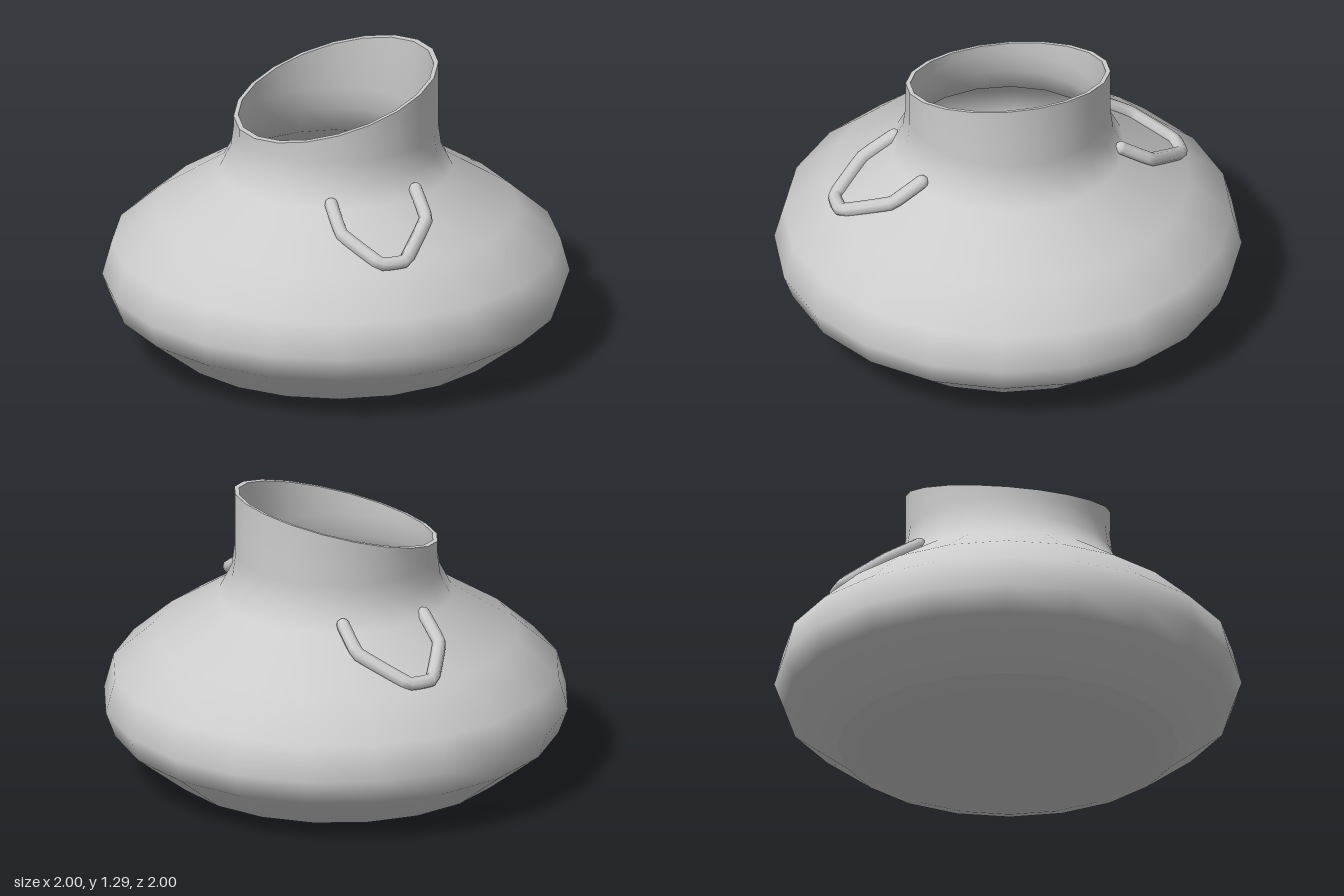
import * as THREE from 'three';
import { toCreasedNormals } from 'three/addons/utils/BufferGeometryUtils.js';

const SIDES = 20;
const RIM_Y = 1.165, RIM_SLOPE = 0.29;

// Revolved surface; points at rim height are tilted to the slanted mouth.
function lathe(profile) {
  const geo = new THREE.LatheGeometry(profile.map(([r, y]) => new THREE.Vector2(r, y)), SIDES);
  const p = geo.attributes.position;
  for (let i = 0; i < p.count; i++) {
    if (p.getY(i) > RIM_Y - 0.01) p.setY(i, p.getY(i) + RIM_SLOPE * p.getX(i));
  }
  return geo;
}

export function createModel() {
  const model = new THREE.Group();
  model.name = 'pot';
  const material = new THREE.MeshStandardMaterial({ color: 0xcccccc });

  function add(name, geometry, parent = model) {
    const mesh = new THREE.Mesh(geometry, material);
    mesh.name = name;
    parent.add(mesh);
    return mesh;
  }

  // Flat foot with a faceted bevel
  add('base', toCreasedNormals(lathe([[0, 0], [0.64, 0], [0.73, 0.03]]), 0.1));

  // Squat belly, shoulder and neck
  add('body', lathe([
    [0.73, 0.03], [0.96, 0.21], [1, 0.32], [0.96, 0.47], [0.78, 0.63],
    [0.5, 0.81], [0.45, 0.91], [0.438, 1.0], [0.438, RIM_Y],
  ]));

  // Thin slanted lip
  add('rim', lathe([[0.438, RIM_Y], [0.418, RIM_Y]]));

  // Hollow interior and floor
  add('innerWall', lathe([
    [0.418, RIM_Y], [0.418, 1.0], [0.43, 0.9], [0.48, 0.78], [0.76, 0.6],
    [0.92, 0.455], [0.95, 0.32], [0.92, 0.225], [0.71, 0.06], [0.64, 0.03],
  ]));
  add('innerFloor', lathe([[0.64, 0.03], [0, 0.03]]));

  // Angular loop handles lying on the shoulder, front and back
  const radius = 0.03;
  const path = [
    [-0.18, 0.83, 0.455], [-0.18, 0.745, 0.595], [-0.06, 0.655, 0.755],
    [0.05, 0.655, 0.755], [0.205, 0.76, 0.58], [0.205, 0.845, 0.445],
  ];
  for (const [name, side] of [['frontHandle', 1], ['backHandle', -1]]) {
    const handle = new THREE.Group();
    handle.name = name;
    model.add(handle);
    const points = path.map(([x, y, z]) => new THREE.Vector3(x, y, z * side));
    const curve = new THREE.CatmullRomCurve3(points, false, 'catmullrom', 0.12);
    add(name + 'Loop', new THREE.TubeGeometry(curve, 28, radius, 8), handle);
    for (const end of [points[0], points[points.length - 1]]) {
      add(name + 'End', new THREE.SphereGeometry(radius, 8, 6), handle).position.copy(end);
    }
  }

  return model;
}
